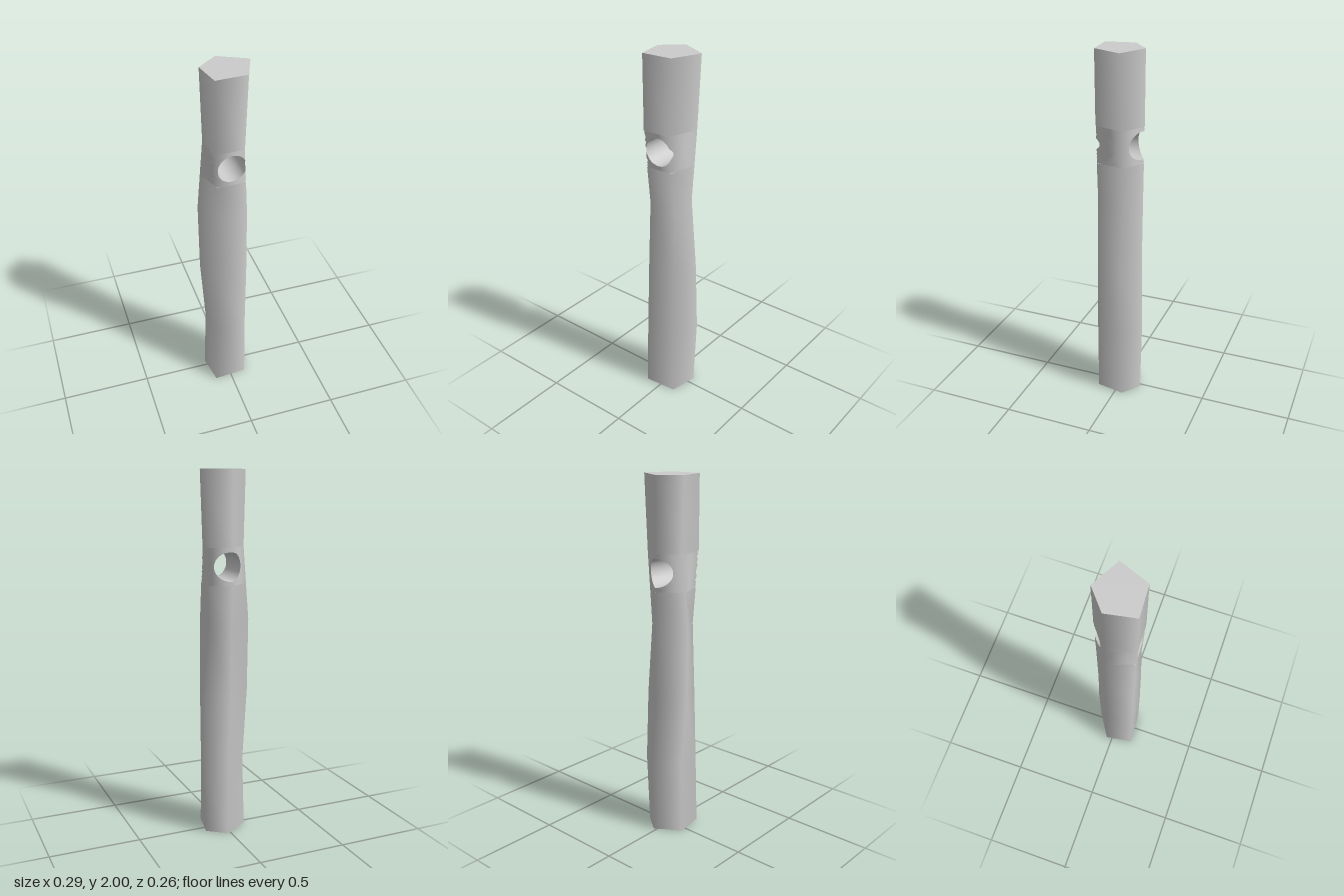
import * as THREE from 'three';

// Corner positions (x, z) of the five-sided post, counter-clockwise from above:
// front left, left, back, right, front right
const RINGS = [
  { y: 0.0, p: [[0.09, 0.113], [0.12, -0.045], [0.02, -0.122], [-0.12, -0.035], [-0.095, 0.128]] },
  { y: 0.4, p: [[0.085, 0.115], [0.14, -0.045], [0.02, -0.13], [-0.11, -0.03], [-0.085, 0.125]] },
  { y: 0.8, p: [[0.09, 0.11], [0.133, -0.035], [0.0, -0.117], [-0.14, -0.02], [-0.075, 0.12]] },
  { y: 1.2, p: [[0.09, 0.102], [0.095, -0.04], [0.0, -0.12], [-0.145, -0.022], [-0.06, 0.118]] },
  { y: 1.6, p: [[0.065, 0.122], [0.12, -0.045], [-0.01, -0.121], [-0.11, -0.03], [-0.09, 0.127]] },
  { y: 2.0, p: [[0.08, 0.117], [0.143, -0.042], [-0.01, -0.122], [-0.12, -0.03], [-0.09, 0.128]] },
];
const HOLE = { y: 1.5, r: 0.077, half: 0.1 };
const lerp = THREE.MathUtils.lerp;

// Corners and smooth corner normals of the cross-section at height y
function section(y) {
  let i = 0;
  while (i < RINGS.length - 2 && y > RINGS[i + 1].y) i++;
  const a = RINGS[i], b = RINGS[i + 1], t = (y - a.y) / (b.y - a.y);
  const pts = a.p.map((p, k) => new THREE.Vector3(lerp(p[0], b.p[k][0], t), y, lerp(p[1], b.p[k][1], t)));
  const edge = pts.map((p, k) => {
    const d = pts[(k + 1) % 5].clone().sub(p);
    return new THREE.Vector3(-d.z, 0, d.x).normalize();
  });
  return pts.map((pos, k) => ({ pos, normal: edge[k].clone().add(edge[(k + 4) % 5]).normalize() }));
}

// Point on the front or back of the post at a given x and y
function onSurface(x, y, chain) {
  const s = section(y);
  let i = 0;
  while (i < chain.length - 2 && x < s[chain[i + 1]].pos.x) i++;
  const a = s[chain[i]], b = s[chain[i + 1]];
  const t = THREE.MathUtils.clamp((x - a.pos.x) / (b.pos.x - a.pos.x), 0, 1);
  return { pos: a.pos.clone().lerp(b.pos, t), normal: a.normal.clone().lerp(b.normal, t).normalize() };
}

// Mesh from rows of points with normals
function grid(name, rows, material) {
  const n = rows[0].length, index = [], pos = [], nor = [];
  rows.flat().forEach((v) => {
    pos.push(...v.pos.toArray());
    nor.push(...v.normal.toArray());
  });
  for (let r = 0; r < rows.length - 1; r++) {
    for (let c = 0; c < n - 1; c++) {
      const a = r * n + c, d = a + n;
      index.push(a, a + 1, d, a + 1, d + 1, d);
    }
  }
  const g = new THREE.BufferGeometry();
  g.setAttribute('position', new THREE.Float32BufferAttribute(pos, 3));
  g.setAttribute('normal', new THREE.Float32BufferAttribute(nor, 3));
  g.setIndex(index);
  const mesh = new THREE.Mesh(g, material);
  mesh.name = name;
  return mesh;
}

export function createModel() {
  const group = new THREE.Group();
  group.name = 'post';
  const material = new THREE.MeshStandardMaterial({ color: 0xcccccc });

  // Plain lengths of the shaft below and above the hole
  const loft = (ys) => ys.map((y) => {
    const s = section(y);
    return [...s, s[0]];
  });
  const y0 = HOLE.y - HOLE.half, y1 = HOLE.y + HOLE.half;
  group.add(grid('lowerShaft', loft([0, 0.4, 0.8, 1.2, y0]), material));
  group.add(grid('upperShaft', loft([y1, 2]), material));

  // Square outline (from -1 to 1), walked counter-clockwise
  const N = 20, outline = [];
  for (let k = 0; k < 4; k++) {
    for (let i = 0; i < N; i++) {
      const v = new THREE.Vector2(1, (2 * i) / N - 1);
      outline.push(v.rotateAround(new THREE.Vector2(), (k * Math.PI) / 2));
    }
  }
  outline.push(outline[0].clone());

  // One ring of points between the hole rim (f = 0) and the band outline (f = 1)
  const FRONT = [1, 0, 4, 3], BACK = [1, 2, 3];
  const bandRow = (f, chain) => outline.map((q) => {
    const a = Math.atan2(q.y, q.x);
    const oy = HOLE.y + HOLE.half * q.y, s = section(oy);
    const ox = lerp(s[3].pos.x, s[1].pos.x, (q.x + 1) / 2);
    return onSurface(
      lerp(HOLE.r * Math.cos(a), ox, f),
      lerp(HOLE.y + HOLE.r * Math.sin(a), oy, f),
      chain
    );
  });

  // Band of the shaft pierced by the hole
  const steps = [0, 0.2, 0.4, 0.6, 0.8, 1];
  group.add(grid('piercedFront', [...steps].reverse().map((f) => bandRow(f, FRONT)), material));
  group.add(grid('piercedBack', steps.map((f) => bandRow(f, BACK)), material));

  // Wall of the round hole, running front to back
  const rim = (chain) => bandRow(0, chain).map(({ pos }) => ({
    pos, normal: new THREE.Vector3(-pos.x, HOLE.y - pos.y, 0).normalize(),
  }));
  group.add(grid('holeWall', [rim(FRONT), rim(BACK)], material));

  // Flat end caps
  [['bottomCap', 0, -1], ['topCap', 2, 1]].forEach(([name, y, up]) => {
    const shape = new THREE.Shape(section(y).map(({ pos }) => new THREE.Vector2(pos.x, -up * pos.z)));
    const cap = new THREE.Mesh(new THREE.ShapeGeometry(shape), material);
    cap.name = name;
    cap.rotation.x = (-up * Math.PI) / 2;
    cap.position.y = y;
    group.add(cap);
  });
  return group;
}
